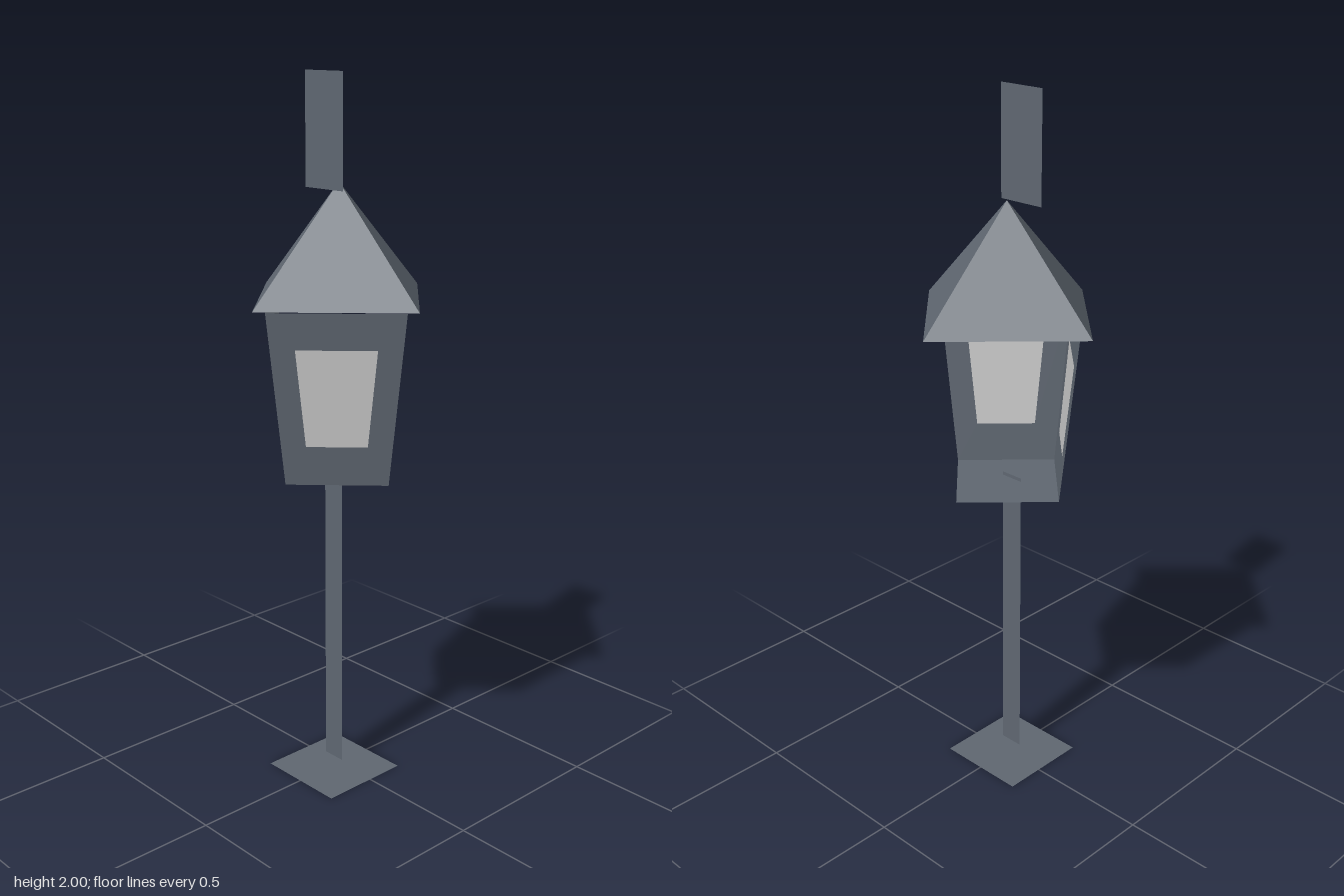
import * as THREE from 'three';

const metal = new THREE.MeshStandardMaterial({ color: 0x5f6771, side: THREE.DoubleSide, flatShading: true });
metal.name = 'dark metal';
const glass = new THREE.MeshStandardMaterial({ color: 0xcbcbcb, side: THREE.DoubleSide, flatShading: true });
glass.name = 'pale glass';

// Flat four-sided faces, each given as corners in counterclockwise order
function quads(list) {
  const points = list.flatMap(([a, b, c, d]) => [a, b, c, a, c, d]).flat();
  const geometry = new THREE.BufferGeometry();
  geometry.setAttribute('position', new THREE.Float32BufferAttribute(points, 3));
  geometry.computeVertexNormals();
  return geometry;
}

export function createModel() {
  const lamp = new THREE.Group();
  lamp.name = 'lampPost';

  function add(name, geometry, material, x = 0, y = 0, z = 0) {
    const mesh = new THREE.Mesh(geometry, material);
    mesh.name = name;
    mesh.position.set(x, y, z);
    lamp.add(mesh);
    return mesh;
  }

  // Ground plate and flat post
  add('basePlate', new THREE.PlaneGeometry(0.268, 0.268).rotateX(-Math.PI / 2), metal, 0, 0, 0.02);
  add('post', new THREE.PlaneGeometry(0.07, 0.9), metal, 0, 0.48, 0.02);

  // Lantern floor, corners on the x and z axes
  add('lanternFloor', new THREE.CircleGeometry(0.197, 4).rotateX(-Math.PI / 2), metal, 0, 0.92, 0);

  // Two flared front walls, each framing a pane; the rear is open
  const outer = [[0, 0.92, 0.197], [0.197, 0.92, 0], [0.26, 1.4, 0], [0, 1.4, 0.26]];
  const inner = [[0.047, 1.03, 0.164], [0.164, 1.03, 0.047], [0.2, 1.3, 0.047], [0.047, 1.3, 0.2]];
  for (const side of [1, -1]) {
    const place = (corners) => {
      const moved = corners.map(([x, y, z]) => [side * x, y, z]);
      return side > 0 ? moved : moved.reverse();
    };
    const o = place(outer);
    const n = place(inner);
    const frame = o.map((p, i) => [p, o[(i + 1) % 4], n[(i + 1) % 4], n[i]]);
    const label = side > 0 ? 'left' : 'right';
    add(label + 'Wall', quads(frame), metal);
    add(label + 'Window', quads([n]), glass);
  }

  // Hollow pyramid roof
  add('roof', new THREE.ConeGeometry(0.303, 0.308, 4, 1, true), metal, 0, 1.562, 0);

  // Upright hanging plate above the roof
  add('topPlate', new THREE.PlaneGeometry(0.144, 0.3), metal, 0, 1.85, 0.053);

  return lamp;
}
